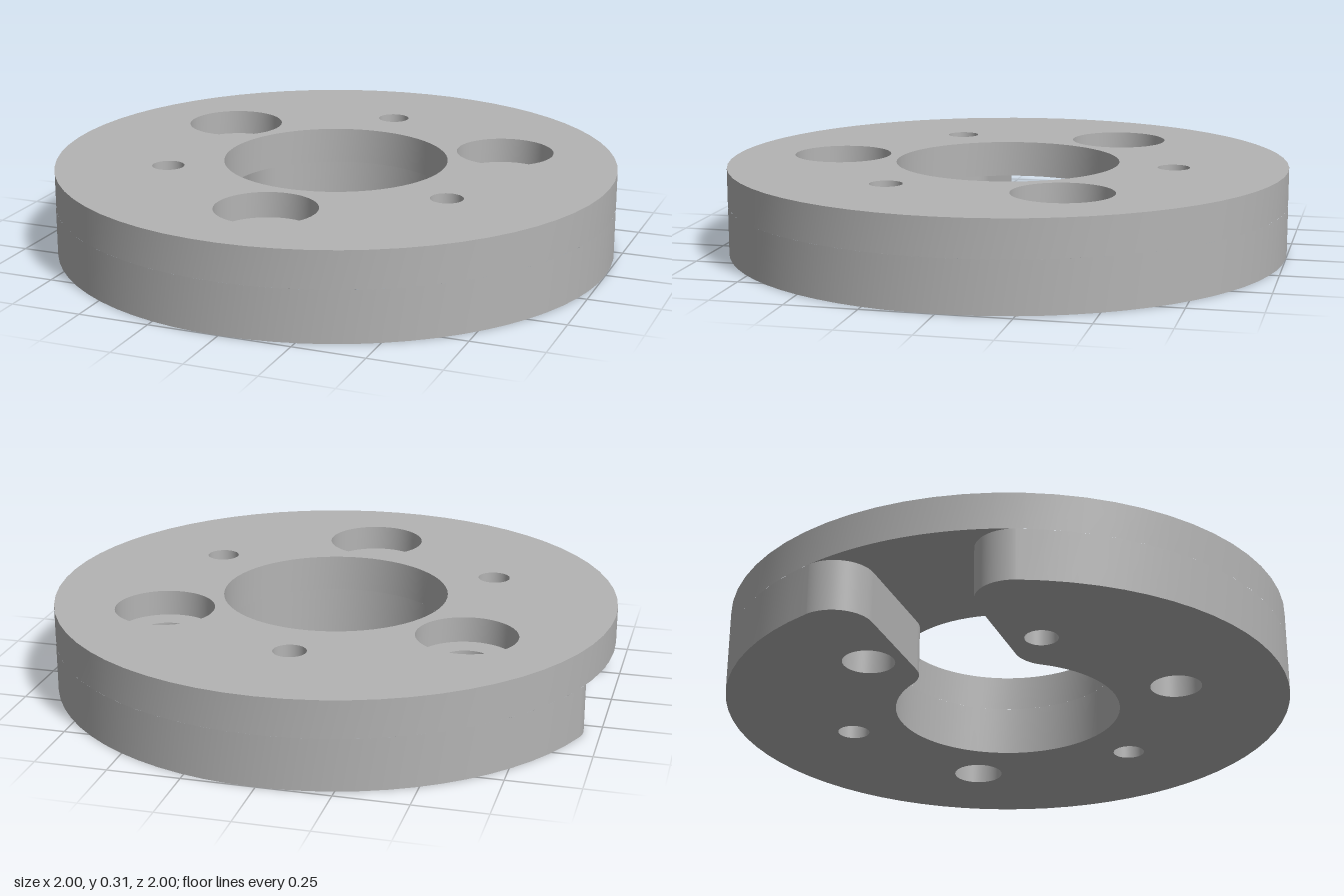
import * as THREE from 'three';

const R = 1, BORE = 0.4, TOP = 0.31, SLOT_TOP = 0.18, SEAT = 0.22;
const HALF = 0.18, FILLET = 0.13; // slot half width and corner radius
const { PI } = Math;

// Points of a chain of arcs [cx, cz, radius, start, end, clockwise], joined by straight lines
function outline(arcs) {
  const path = new THREE.Path();
  arcs.forEach(a => path.absarc(...a));
  const pts = path.getPoints(32);
  return pts.filter((p, i) => p.distanceTo(pts[(i + 1) % pts.length]) > 1e-5);
}
const circle = (x, z, r, clockwise = false) =>
  outline([[x, z, r, 0, clockwise ? -2 * PI : 2 * PI, clockwise]]);

// Horizontal face at height y, facing up or down
function cap(pts, holes, y, up) {
  const shape = new THREE.Shape(pts);
  shape.holes = holes.map(h => new THREE.Path(h));
  const geo = new THREE.ShapeGeometry(shape).rotateX(PI / 2).translate(0, y, 0);
  if (up) {
    geo.index.array.reverse();
    geo.computeVertexNormals();
  }
  return geo;
}

// Smooth vertical wall along a closed outline; clockwise outlines face inward
function wall(pts, y0, y1) {
  const pos = [], index = [], n = pts.length;
  pts.forEach((p, i) => {
    pos.push(p.x, y0, p.y, p.x, y1, p.y);
    const a = 2 * i, b = 2 * ((i + 1) % n);
    index.push(a, a + 1, b, b, a + 1, b + 1);
  });
  const geo = new THREE.BufferGeometry();
  geo.setAttribute('position', new THREE.Float32BufferAttribute(pos, 3));
  geo.setIndex(index);
  geo.computeVertexNormals();
  return geo;
}

export function createModel() {
  const group = new THREE.Group();
  group.name = 'flange';
  const metal = new THREE.MeshStandardMaterial({ color: 0xb4b4b4 });
  metal.name = 'grey metal';
  const add = (name, geo) => {
    const mesh = new THREE.Mesh(geo, metal);
    mesh.name = name;
    group.add(mesh);
  };

  // Three counterbored bolt holes alternate with three small pin holes
  const ring = (radius, start) => [0, 1, 2].map(i => {
    const a = start + i * 2 * PI / 3;
    return [radius * Math.cos(a), radius * Math.sin(a)];
  });
  const bolts = ring(0.62, PI / 2), pins = ring(0.6, -PI / 2);
  const boltHoles = bolts.map(([x, z]) => circle(x, z, 0.09, true));
  const seats = bolts.map(([x, z]) => circle(x, z, 0.175, true));
  const pinHoles = pins.map(([x, z]) => circle(x, z, 0.057, true));

  // Fillet centres at the outer and inner ends of the slot, which opens towards -x
  const w = HALF + FILLET;
  const co = Math.sqrt((R - FILLET) ** 2 - w * w), ci = Math.sqrt((BORE + FILLET) ** 2 - w * w);
  const ao = Math.atan2(w, co), ai = Math.atan2(w, ci);
  const lower = outline([
    [0, 0, R, ao - PI, PI - ao, false],
    [-co, w, FILLET, PI - ao, 1.5 * PI, false],
    [-ci, w, FILLET, -PI / 2, -ai, false],
    [0, 0, BORE, PI - ai, ai - PI, true],
    [-ci, -w, FILLET, ai, PI / 2, false],
    [-co, -w, FILLET, PI / 2, PI + ao, false],
  ]);
  const slot = outline([
    [0, 0, R, PI - ao, PI + ao, false],
    [-co, -w, FILLET, PI + ao, PI / 2, true],
    [-ci, -w, FILLET, PI / 2, ai, true],
    [0, 0, BORE, PI + ai, PI - ai, true],
    [-ci, w, FILLET, -ai, -PI / 2, true],
    [-co, w, FILLET, 1.5 * PI, PI - ao, true],
  ]);

  // Disc body
  const rim = circle(0, 0, R), bore = circle(0, 0, BORE, true);
  add('topFace', cap(rim, [bore, ...seats, ...pinHoles], TOP, true));
  add('bottomFace', cap(lower, [...boltHoles, ...pinHoles], 0, false));
  add('slotCeiling', cap(slot, [], SLOT_TOP, false));
  add('upperRim', wall(rim, SLOT_TOP, TOP));
  add('upperBore', wall(bore, SLOT_TOP, TOP));
  add('lowerRimSlotAndBore', wall(lower, 0, SLOT_TOP));

  // Hole walls and counterbore seats
  bolts.forEach(([x, z], i) => {
    add('counterboreWall', wall(seats[i], SEAT, TOP));
    add('counterboreSeat', cap(circle(x, z, 0.175), [boltHoles[i]], SEAT, true));
    add('boltHole', wall(boltHoles[i], 0, SEAT));
    add('pinHole', wall(pinHoles[i], 0, TOP));
  });
  return group;
}
